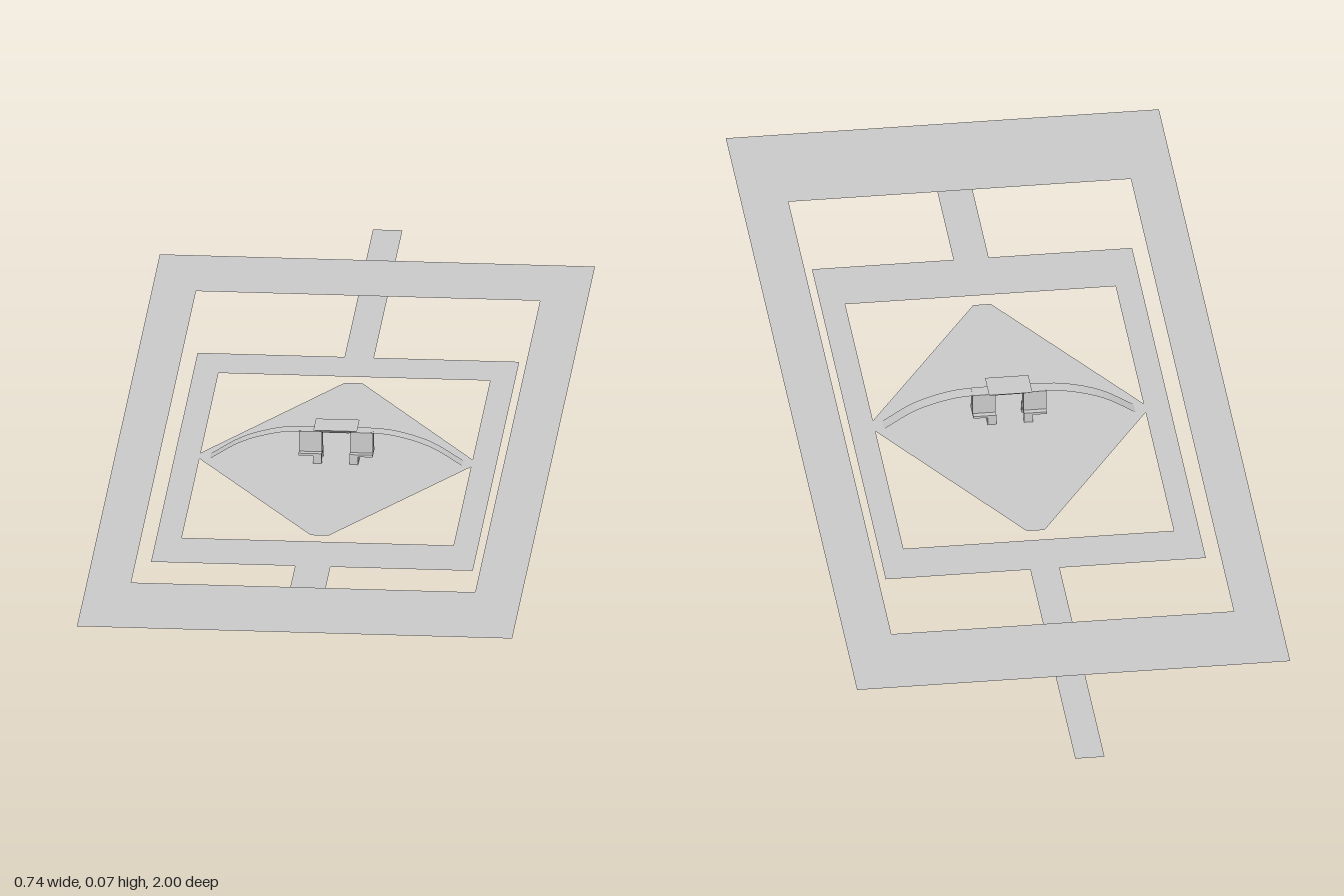
import * as THREE from 'three';

const material = new THREE.MeshStandardMaterial({ color: 0xcccccc, side: THREE.DoubleSide, flatShading: true });
const SHEET_Y = 0.006, FRAME_Y = 0.034, MID_Z = 0.1;

export function createModel() {
  const model = new THREE.Group();

  const add = (name, geometry, parent = model) => {
    const mesh = new THREE.Mesh(geometry, material);
    mesh.name = name;
    parent.add(mesh);
    return mesh;
  };
  // Corners are [x, z]; the flat shape lies at height y, facing up
  const points = (list) => list.map(([x, z]) => new THREE.Vector2(x, -z));
  const rect = (x0, x1, z0, z1) => points([[x0, z0], [x0, z1], [x1, z1], [x1, z0]]);
  const sheet = (name, y, outline, hole) => {
    const shape = new THREE.Shape(outline);
    if (hole) shape.holes.push(new THREE.Path(hole));
    add(name, new THREE.ShapeGeometry(shape).rotateX(-Math.PI / 2).translate(0, y, 0));
  };
  const box = (name, x0, x1, y0, y1, z0, z1, parent) =>
    add(name, new THREE.BoxGeometry(x1 - x0, y1 - y0, z1 - z0)
      .translate((x0 + x1) / 2, (y0 + y1) / 2, (z0 + z1) / 2), parent);

  // Flat frames, connecting bars and central diamond
  sheet('outerFrame', FRAME_Y, rect(-0.37, 0.37, -0.78, 1), rect(-0.295, 0.29, -0.61, 0.785));
  sheet('innerFrame', SHEET_Y, rect(-0.275, 0.272, -0.39, 0.61), rect(-0.232, 0.23, -0.297, 0.492));
  sheet('backBar', SHEET_Y, rect(-0.025, 0.025, -1, -0.39));
  sheet('frontBar', SHEET_Y, rect(-0.03, 0.03, 0.61, 0.91));
  sheet('diamond', SHEET_Y, points([
    [-0.015, -0.267], [-0.232, 0.085], [-0.232, 0.113], [-0.015, 0.462],
    [0.015, 0.462], [0.232, 0.113], [0.232, 0.085], [0.015, -0.267],
  ]));

  // Flared cap on top of the two brackets
  const cap = new THREE.CylinderGeometry(Math.SQRT2, Math.SQRT2 * 0.6, 0.008, 4)
    .rotateY(Math.PI / 4).scale(0.037, 1, 0.028).translate(0, 0.065, MID_Z);
  add('cap', cap);

  for (const side of [-1, 1]) {
    const half = new THREE.Group();
    half.name = side > 0 ? 'leftBracket' : 'rightBracket';
    model.add(half);
    const [from, to] = [0.0237, 0.063];
    const span = (a, b) => (side > 0 ? [a, b] : [-b, -a]);

    // Upright web, flange and foot
    box('web', ...span(from, to), 0.02, 0.061, MID_Z - 0.011, MID_Z + 0.011, half);
    box('flange', ...span(from, to), 0.02, 0.024, MID_Z - 0.021, MID_Z + 0.021, half);
    for (const dz of [-0.016, 0.016]) {
      box('foot', ...span(from, 0.0385), 0.006, 0.02, MID_Z + dz - 0.005, MID_Z + dz + 0.005, half);
    }
    // Pin reaching through the sheet
    box('pin', ...span(0.036, 0.0385), 0, 0.02, MID_Z - 0.012, MID_Z + 0.012, half);

    // Thin strip arching from the bracket top down to the diamond's corner
    const curve = new THREE.CatmullRomCurve3([
      [0.022, 0.061], [0.06, 0.0608], [0.1, 0.057], [0.16, 0.039], [0.215, SHEET_Y],
    ].map(([x, y]) => new THREE.Vector3(side * x, y, 0)));
    const strip = new THREE.PlaneGeometry(1, 0.026, 16, 1).rotateX(-Math.PI / 2);
    const pos = strip.attributes.position;
    for (let i = 0; i < pos.count; i++) {
      const t = pos.getX(i) + 0.5;
      const p = curve.getPoint(side > 0 ? t : 1 - t);
      pos.setXYZ(i, p.x, p.y, MID_Z + pos.getZ(i));
    }
    strip.computeVertexNormals();
    add('archedStrip', strip, half);
  }

  return model;
}
